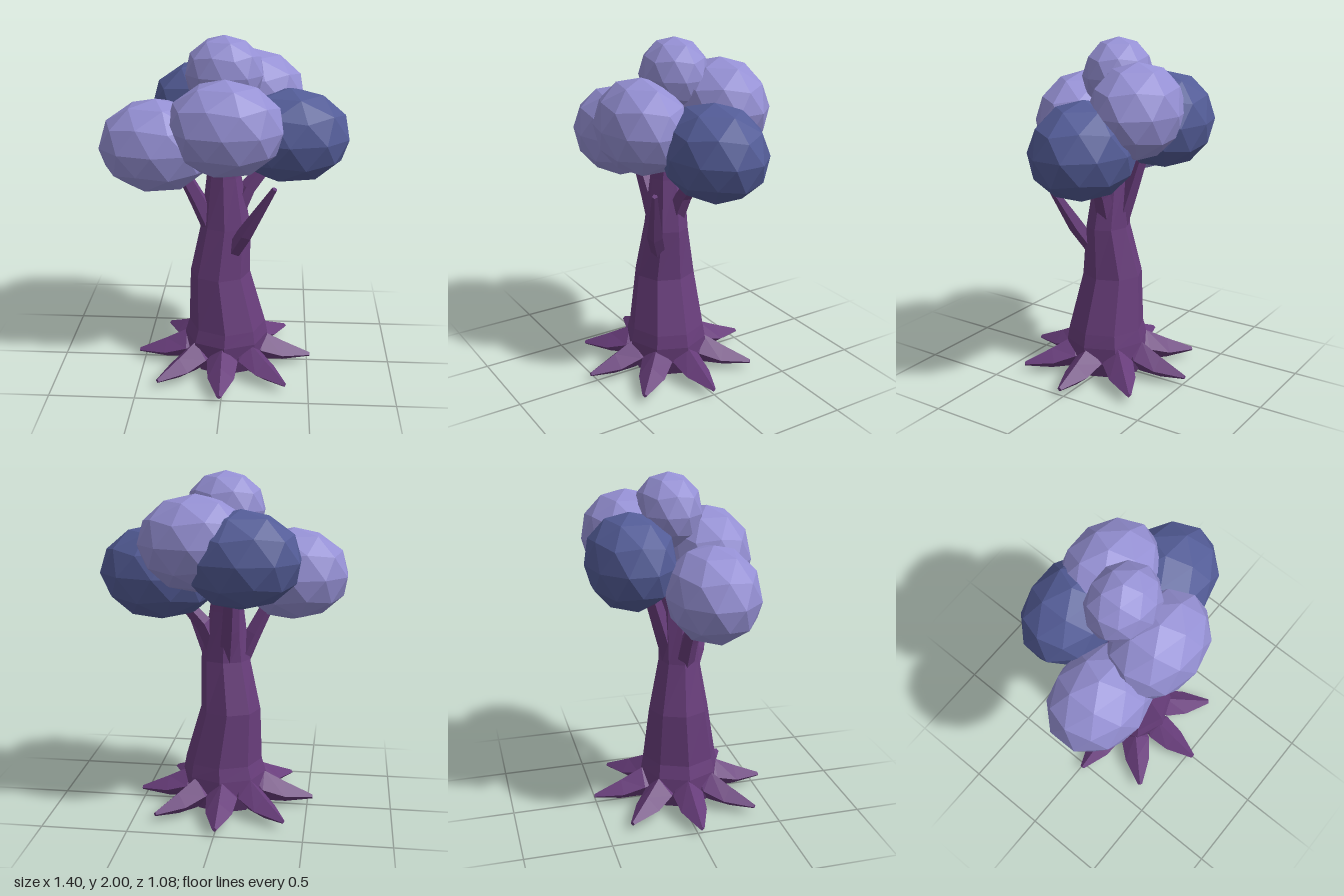
import * as THREE from 'three';

const bark = new THREE.MeshStandardMaterial({ color: 0x683d7b });
bark.name = 'purple bark';
const lightLeaf = new THREE.MeshStandardMaterial({ color: 0x9590d4 });
lightLeaf.name = 'lilac foliage';
const darkLeaf = new THREE.MeshStandardMaterial({ color: 0x535c97 });
darkLeaf.name = 'slate blue foliage';

// Skin through rings of points (counterclockwise about the path), capped, with flat faces
function loft(rings) {
  const n = rings[0].length, pos = [];
  const tri = (...pts) => pts.forEach((p) => pos.push(p.x, p.y, p.z));
  for (let i = 0; i < rings.length - 1; i++) {
    for (let k = 0; k < n; k++) {
      const m = (k + 1) % n, a = rings[i], b = rings[i + 1];
      tri(a[k], a[m], b[m]);
      tri(a[k], b[m], b[k]);
    }
  }
  const first = rings[0], last = rings[rings.length - 1];
  for (let k = 1; k < n - 1; k++) {
    tri(first[0], first[k + 1], first[k]);
    tri(last[0], last[k], last[k + 1]);
  }
  const g = new THREE.BufferGeometry();
  g.setAttribute('position', new THREE.Float32BufferAttribute(pos, 3));
  g.computeVertexNormals();
  return g;
}

function addMesh(group, name, geometry, material) {
  const mesh = new THREE.Mesh(geometry, material);
  mesh.name = name;
  group.add(mesh);
  return mesh;
}

// Eight-sided trunk with a slight bend: [y, centre x, centre z, radius x, radius z]
function trunkGeometry() {
  const rows = [
    [0, 0, 0.015, 0.2, 0.2],
    [0.1, 0, 0.015, 0.25, 0.24],
    [0.2, 0.005, 0.025, 0.25, 0.24],
    [0.28, 0.01, 0.025, 0.23, 0.225],
    [0.6, -0.032, 0.01, 0.178, 0.18],
    [0.9, 0, 0.02, 0.145, 0.122],
    [1.2, -0.01, 0.005, 0.1, 0.1],
    [1.42, -0.01, 0, 0.085, 0.085],
  ];
  return loft(rows.map(([y, cx, cz, rx, rz]) => Array.from({ length: 8 }, (_, k) => {
    const a = (k * Math.PI) / 4;
    return new THREE.Vector3(cx + rx * Math.sin(a), y, cz + rz * Math.cos(a));
  })));
}

// Pointed root with a ridge and keel: [reach, ridge y, side y, half width, keel y]
function rootGeometry() {
  const rows = [
    [0.12, 0.22, 0.12, 0.05, 0.02],
    [0.23, 0.2, 0.11, 0.092, 0.008],
    [0.36, 0.135, 0.07, 0.078, 0.008],
    [0.525, 0.06, 0.048, 0.014, 0.035],
  ];
  return loft(rows.map(([r, top, side, w, keel]) => [
    new THREE.Vector3(r, top, 0),
    new THREE.Vector3(r, side, w),
    new THREE.Vector3(r, keel, 0),
    new THREE.Vector3(r, side, -w),
  ]));
}

// Tapering five-sided branch through points [x, y, z, radius]
function branchGeometry(points) {
  const at = (p) => new THREE.Vector3(p[0], p[1], p[2]);
  const d = at(points[points.length - 1]).sub(at(points[0])).normalize();
  const u = new THREE.Vector3(0, 0, 1).cross(d).normalize();
  const v = d.clone().cross(u);
  return loft(points.map((p) => Array.from({ length: 5 }, (_, k) => {
    const a = (k * 2 * Math.PI) / 5;
    return at(p).addScaledVector(u, p[3] * Math.cos(a)).addScaledVector(v, p[3] * Math.sin(a));
  })));
}

// Faceted ball with its pole up, squashed to the given radii
function clumpGeometry(rx, ry, rz) {
  const g = new THREE.IcosahedronGeometry(1, 1);
  g.rotateZ(-Math.atan(1 / ((1 + Math.sqrt(5)) / 2)));
  g.scale(rx, ry, rz);
  g.computeVertexNormals();
  return g;
}

export function createModel() {
  const tree = new THREE.Group();
  tree.name = 'tree';

  addMesh(tree, 'trunk', trunkGeometry(), bark);

  // Eight roots around the foot
  const roots = new THREE.Group();
  roots.name = 'roots';
  roots.position.set(-0.008, 0, 0.015);
  const rootShape = rootGeometry();
  for (let i = 0; i < 8; i++) {
    addMesh(roots, 'root', rootShape, bark).rotation.y = (i * Math.PI) / 4;
  }
  tree.add(roots);

  // Branches reaching into the crown
  const branches = {
    frontBranch: [[0.05, 0.76, 0.1, 0.045], [0.12, 0.9, 0.165, 0.048], [0.285, 1.21, 0.265, 0.016]],
    rightBranch: [[-0.06, 0.84, 0.03, 0.06], [-0.16, 1.06, 0.04, 0.05], [-0.28, 1.3, 0.06, 0.035]],
    leftBranch: [[0.05, 0.95, 0, 0.06], [0.13, 1.12, -0.02, 0.05], [0.26, 1.28, -0.05, 0.035]],
    backBranch: [[-0.02, 0.9, -0.03, 0.06], [-0.04, 1.1, -0.09, 0.055], [-0.06, 1.36, -0.17, 0.045]],
  };
  for (const [name, points] of Object.entries(branches)) {
    addMesh(tree, name, branchGeometry(points), bark);
  }

  // Crown: [name, material, centre, radii]
  const clumps = [
    ['topClump', lightLeaf, [-0.01, 1.785, -0.043], [0.228, 0.215, 0.193]],
    ['frontClump', lightLeaf, [0.005, 1.522, 0.182], [0.336, 0.277, 0.252]],
    ['frontRightClump', lightLeaf, [-0.385, 1.4, 0.105], [0.331, 0.27, 0.263]],
    ['backLeftClump', lightLeaf, [0.13, 1.62, -0.255], [0.325, 0.27, 0.258]],
    ['leftClump', darkLeaf, [0.363, 1.425, -0.062], [0.354, 0.277, 0.28]],
    ['backRightClump', darkLeaf, [-0.125, 1.54, -0.287], [0.339, 0.275, 0.258]],
  ];
  for (const [name, material, centre, radii] of clumps) {
    addMesh(tree, name, clumpGeometry(...radii), material).position.set(...centre);
  }

  return tree;
}
